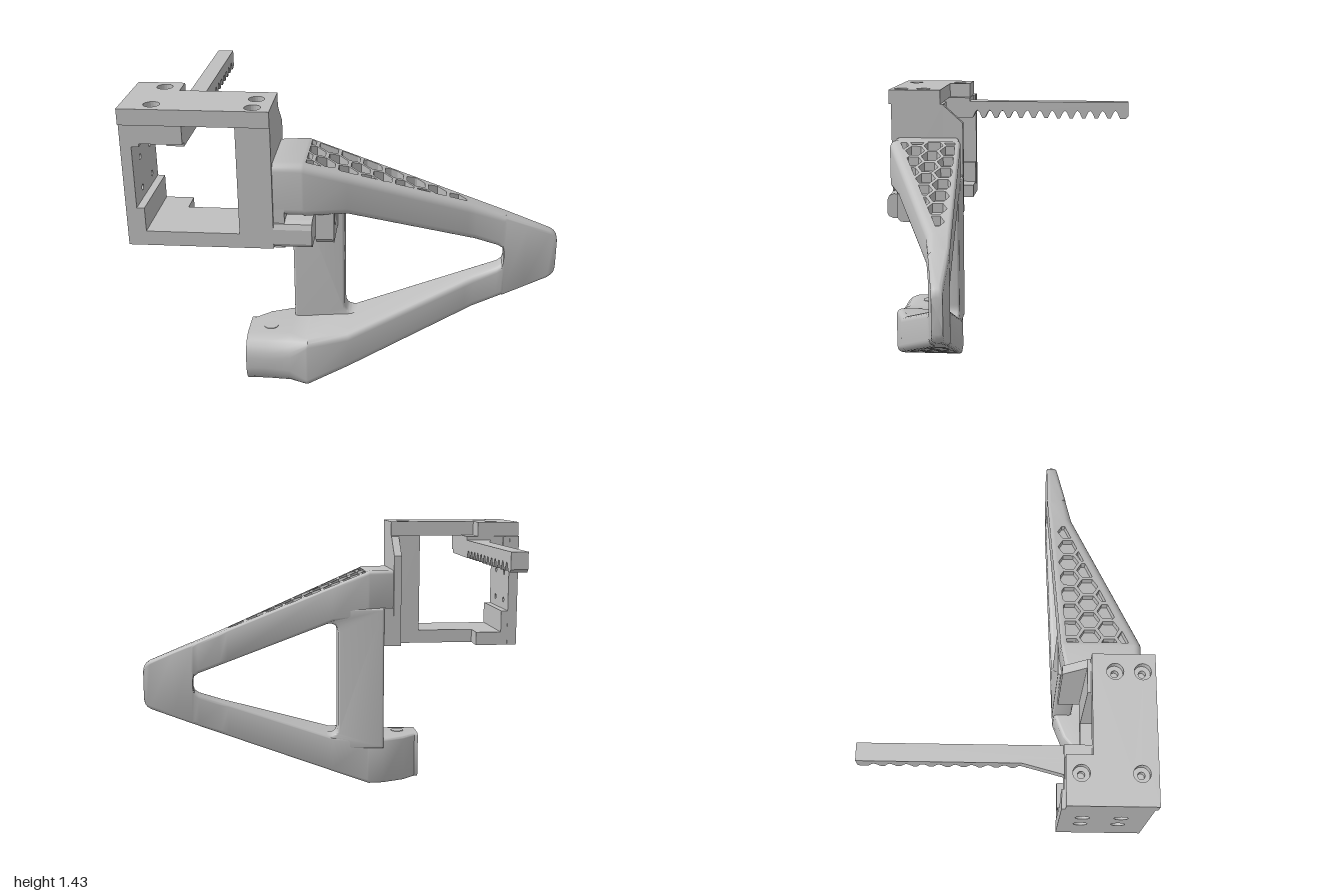
import * as THREE from 'three';
import { toCreasedNormals } from 'three/addons/utils/BufferGeometryUtils.js';

const grey = new THREE.MeshStandardMaterial({ color: 0xc0c0c0 });
grey.name = 'grey plastic';

const lerp = (x, x0, x1, a, b) => a + (b - a) * Math.min(1, Math.max(0, (x - x0) / (x1 - x0)));

// Depth limits and outer edge of the triangular handle, as functions of x
const backZ = x => x < -0.4 ? lerp(x, -0.47, -0.4, 0.36, 0.3)
  : x < -0.28 ? lerp(x, -0.4, -0.28, 0.3, 0.25) : lerp(x, -0.33, 0.75, 0.255, 0.195);
const frontZ = x => x < 0.6 ? lerp(x, -0.19, 0.6, 0.62, 0.32) : lerp(x, 0.6, 1, 0.32, 0.245);
const outerY = x => 1.17 - 0.39 * Math.max(0, x + 0.2);
const POCKET = { x0: -0.19, x1: 0.56, depth: 0.045, back: 0.022, front: 0.05 };

// Counter-clockwise outline with holes given as circles or point lists
function makeShape(pts, holes = []) {
  const v = pts.map(p => new THREE.Vector2(...p));
  if (THREE.ShapeUtils.isClockWise(v)) v.reverse();
  const s = new THREE.Shape(v);
  for (const h of holes) {
    if (h.r) s.holes.push(new THREE.Path().absarc(h.u, h.v, h.r, 0, Math.PI * 2, true));
    else s.holes.push(new THREE.Path(h.map(p => new THREE.Vector2(...p))));
  }
  return s;
}

// Outline in (z, y), extruded from x0 to x1
function extrudeX(pts, x0, x1, holes = []) {
  const s = makeShape(pts.map(([z, y]) => [-z, y]), holes.map(([z, y, r]) => ({ u: -z, v: y, r })));
  return new THREE.ExtrudeGeometry(s, { depth: x1 - x0, bevelEnabled: false, curveSegments: 10 })
    .rotateY(Math.PI / 2).translate(x0, 0, 0);
}

// Outline in (x, z), extruded from y0 to y1
function extrudeY(pts, y0, y1, holes = []) {
  const s = makeShape(pts.map(([x, z]) => [x, -z]), holes.map(([x, z, r]) => ({ u: x, v: -z, r })));
  return new THREE.ExtrudeGeometry(s, { depth: y1 - y0, bevelEnabled: false, curveSegments: 10 })
    .rotateX(-Math.PI / 2).translate(0, y0, 0);
}

function box(x0, x1, y0, y1, z0, z1) {
  return new THREE.BoxGeometry(x1 - x0, y1 - y0, z1 - z0)
    .translate((x0 + x1) / 2, (y0 + y1) / 2, (z0 + z1) / 2);
}

// Rounded cross-section in (y, z); the outer side may carry a pocket of depth d
function section(x, outer, inner, r, d) {
  const s = Math.sign(outer - inner), h = Math.abs(outer - inner);
  const b = backZ(x), f = s < 0 ? Math.min(0.605, frontZ(x)) : frontZ(x);
  r = Math.min(r, 0.4 * (f - b), 0.4 * h);
  const rb = Math.min(0.02, r);
  const z1 = b + POCKET.back, z2 = Math.max(z1, Math.min(frontZ(x) - POCKET.front, f - r));
  const pts = [[0, z1], [-d, z1], [-d, z2], [0, z2]];
  const corner = (cy, cz, rad, a0) => {
    for (let i = 0; i <= 5; i++) {
      const a = a0 + i * Math.PI / 10;
      pts.push([cy + rad * Math.cos(a), cz + rad * Math.sin(a)]);
    }
  };
  corner(-r, f - r, r, 0);
  corner(-h + r, f - r, r, Math.PI / 2);
  corner(-h + rb, b + rb, rb, Math.PI);
  corner(-rb, b + rb, rb, Math.PI * 1.5);
  const ring = pts.map(([y, z]) => new THREE.Vector3(x, outer + s * y, z));
  return s < 0 ? ring.reverse() : ring;
}

// Skin through cross-sections ordered by rising x, with closed ends
function loft(rings) {
  const pos = [], n = rings[0].length;
  const tri = (...v) => v.forEach(p => pos.push(p.x, p.y, p.z));
  for (let k = 0; k + 1 < rings.length; k++) {
    const a = rings[k], b = rings[k + 1];
    for (let i = 0; i < n; i++) {
      const j = (i + 1) % n;
      tri(a[i], a[j], b[i]);
      tri(a[j], b[j], b[i]);
    }
  }
  for (const [ring, end] of [[rings[0], false], [rings[rings.length - 1], true]]) {
    const c = ring.reduce((m, p) => m.add(p), new THREE.Vector3()).divideScalar(n);
    for (let i = 0; i < n; i++) {
      const p = ring[i], q = ring[(i + 1) % n];
      end ? tri(c, p, q) : tri(c, q, p);
    }
  }
  const g = new THREE.BufferGeometry();
  g.setAttribute('position', new THREE.Float32BufferAttribute(pos, 3));
  return toCreasedNormals(g, 0.6);
}

// Clip a convex polygon to the side where f >= 0
function clip(poly, f) {
  const out = [];
  poly.forEach((p, i) => {
    const q = poly[(i + 1) % poly.length], a = f(p), b = f(q);
    if (a >= 0) out.push(p);
    if (a * b < 0) out.push([p[0] + (q[0] - p[0]) * a / (a - b), p[1] + (q[1] - p[1]) * a / (a - b)]);
  });
  return out;
}

// Honeycomb plate filling the pocket of the upper (s = 1) or lower (s = -1) arm
function honeycomb(s) {
  const { x0, x1, depth, back, front } = POCKET, m = 0.006;
  const lo = x => backZ(x) + back, hi = x => frontZ(x) - front;
  const holes = [], pitch = 0.103, R = 0.05;
  for (let row = 0; row < 5; row++) for (let col = 0; col < 9; col++) {
    const cx = -0.155 + (col + (row % 2) / 2 - 0.5) * pitch, cz = 0.295 + row * pitch * 0.866;
    let hex = [];
    for (let i = 0; i < 6; i++) {
      const a = Math.PI / 6 + i * Math.PI / 3;
      hex.push([cx + R * Math.cos(a), cz + R * Math.sin(a)]);
    }
    for (const f of [p => p[0] - x0 - m, p => x1 - m - p[0], p => p[1] - lo(p[0]) - m, p => hi(p[0]) - m - p[1]])
      hex = clip(hex, f);
    const area = Math.abs(THREE.ShapeUtils.area(hex.map(p => new THREE.Vector2(...p))));
    if (hex.length > 2 && area > 0.0004) holes.push(hex.map(([x, z]) => [x, -s * z]));
  }
  const outline = [[x0, lo(x0)], [x1, lo(x1)], [x1, hi(x1)], [x0, hi(x0)]].map(([x, z]) => [x, -s * z]);
  const g = new THREE.ExtrudeGeometry(makeShape(outline, holes), { depth, bevelEnabled: false });
  const p = g.attributes.position;
  for (let i = 0; i < p.count; i++) {
    const x = p.getX(i), y = outerY(x) - depth + p.getZ(i);
    p.setXYZ(i, x, s > 0 ? y : 1.17 - y, -s * p.getY(i));
  }
  g.computeVertexNormals();
  return g;
}

export function createModel() {
  const model = new THREE.Group();
  model.name = 'gripModel';
  const add = (name, geo) => {
    const mesh = new THREE.Mesh(geo, grey);
    mesh.name = name;
    model.add(mesh);
  };

  // Handle arms: [x, inner edge y, pocket depth, corner radius]
  const D = POCKET.depth, { x0, x1 } = POCKET;
  const inner = x => lerp(x, 0, 0.72, 0.9, 0.64);
  const shared = [[x0, 0.915, 0, 0.035], [x0, 0.915, D, 0.035], [0, 0.9, D, 0.035], [x1, inner(x1), D, 0.035],
    [x1, inner(x1), 0, 0.035], [0.6, inner(0.6), 0, 0.035], [0.715, 0.642, 0, 0.03], [0.738, 0.625, 0, 0.03], [0.748, 0.585, 0, 0.03]];
  const upper = [[-0.33, 0.92, 0, 0.035], [-0.2, 0.92, 0, 0.035], ...shared];
  const lower = [[-0.49, 0.92, 0, 0.1], [-0.47, 0.92, 0, 0.1], [-0.4, 0.92, 0, 0.1], [-0.28, 0.92, 0, 0.09],
    [-0.2, 0.92, 0, 0.04], ...shared];
  add('upperArm', loft(upper.map(([x, y, d, r]) => section(x, outerY(x), y, r, d))));
  add('lowerArm', loft(lower.map(([x, y, d, r]) => section(x, 1.17 - outerY(x), 1.17 - y, r, d))));
  add('upperHoneycomb', honeycomb(1));
  add('lowerHoneycomb', honeycomb(-1));
  const tip = [[0.745, 0], [0.85, 0], [0.965, 0], [0.985, 0.006], [0.996, 0.018], [1, 0.035]];
  add('handleTip', loft(tip.map(([x, e]) => section(x, outerY(x) - e, 1.17 - outerY(x) + e, 0.02, 0))));

  // Upright bar with flared ends
  const bar = new THREE.Shape();
  bar.moveTo(-0.28, 0.2);
  bar.lineTo(0.03, 0.2);
  bar.lineTo(0.03, 0.28);
  bar.quadraticCurveTo(-0.03, 0.27, -0.03, 0.33);
  bar.lineTo(-0.03, 0.84);
  bar.quadraticCurveTo(-0.03, 0.9, 0.03, 0.89);
  bar.lineTo(0.03, 0.97);
  bar.lineTo(-0.28, 0.97);
  add('uprightBar', toCreasedNormals(new THREE.ExtrudeGeometry(bar, {
    depth: 0.08, bevelThickness: 0.012, bevelSize: 0.012, bevelOffset: -0.012, bevelSegments: 3
  }).translate(0, 0, 0.254), 0.6));

  // Hinge: lug under the arm, tongue beside it, and the web joining box and arm
  add('hingeLug', extrudeX([[0.34, 0.765], [0.55, 0.765], [0.565, 0.785], [0.565, 0.93], [0.34, 0.93]],
    -0.145, -0.06, [[0.49, 0.86, 0.03]]));
  add('hingeTongue', extrudeX([[0.4, 0.765], [0.605, 0.765], [0.628, 0.775], [0.635, 0.79], [0.635, 0.86], [0.625, 0.885],
    [0.6, 0.895], [0.4, 0.895]], -0.34, -0.155));
  add('hingeWeb', box(-0.33, -0.28, 0.765, 0.97, 0.255, 0.62));

  // Top plate: two layers give the screw holes a step
  const plate = [[-1, 0.255], [-0.78, 0.255], [-0.78, 0.37], [-0.33, 0.37], [-0.33, 0.647], [-1, 0.647]];
  const screws = [[-0.86, 0.32], [-0.86, 0.575], [-0.41, 0.47], [-0.41, 0.59]];
  add('topPlate', extrudeY(plate, 1.385, 1.425, screws.map(p => [...p, 0.037])));
  add('topPlateBase', extrudeY(plate, 1.35, 1.385, screws.map(p => [...p, 0.016])));

  // Box frame around the square opening, its outer wall in two layers for stepped holes
  const wall = [[0.238, 0.765], [0.635, 0.765], [0.635, 1.35], [0.238, 1.35]];
  const wallHoles = [];
  for (const z of [0.34, 0.51]) for (const y of [1.0, 1.15]) wallHoles.push([z, y]);
  add('outerWall', extrudeX(wall, -1, -0.975, wallHoles.map(p => [...p, 0.032])));
  add('outerWallInside', extrudeX(wall, -0.975, -0.95, wallHoles.map(p => [...p, 0.014])));
  add('lowerRib', box(-0.95, -0.915, 0.83, 0.95, 0.24, 0.635));
  add('upperRib', box(-0.95, -0.915, 1.245, 1.35, 0.24, 0.635));
  add('guideBlock', box(-0.915, -0.72, 1.26, 1.35, 0.25, 0.635));
  add('boxFloor', extrudeY([[-0.95, 0.24], [-0.78, 0.24], [-0.78, 0.355], [-0.33, 0.355], [-0.33, 0.635], [-0.95, 0.635]],
    0.765, 0.835));
  add('innerWall', box(-0.485, -0.33, 0.835, 1.35, 0.355, 0.635));
  add('chamferedCheek', extrudeX([[0.25, 0.765], [0.36, 0.765], [0.36, 1.35], [0.25, 1.25]], -0.37, -0.33));

  // Toothed rack with a tapered root
  const rack = [[0.6, 1.33], [0.6, 1.24]];
  for (let i = 0; i < 12; i++) {
    const z = 0.235 - i * 0.0712;
    rack.push([z, 1.237], [z - 0.016, 1.27], [z - 0.027, 1.281], [z - 0.038, 1.27], [z - 0.054, 1.237]);
  }
  rack.push([-0.636, 1.237], [-0.648, 1.25], [-0.648, 1.33]);
  add('toothedRack', extrudeX(rack, -0.8, -0.72));
  add('rackRoot', extrudeY([[-0.85, 0.26], [-0.795, 0.05], [-0.78, 0.05], [-0.78, 0.26]], 1.27, 1.33));

  // Screw seats on the foot
  const disc = (r, y) => new THREE.CylinderGeometry(r, r, 0.006, 20).translate(-0.385, y, 0.45);
  add('footTopSeat', disc(0.035, 0.25));
  add('footBottomSeat', disc(0.055, 0.002));

  return model;
}
